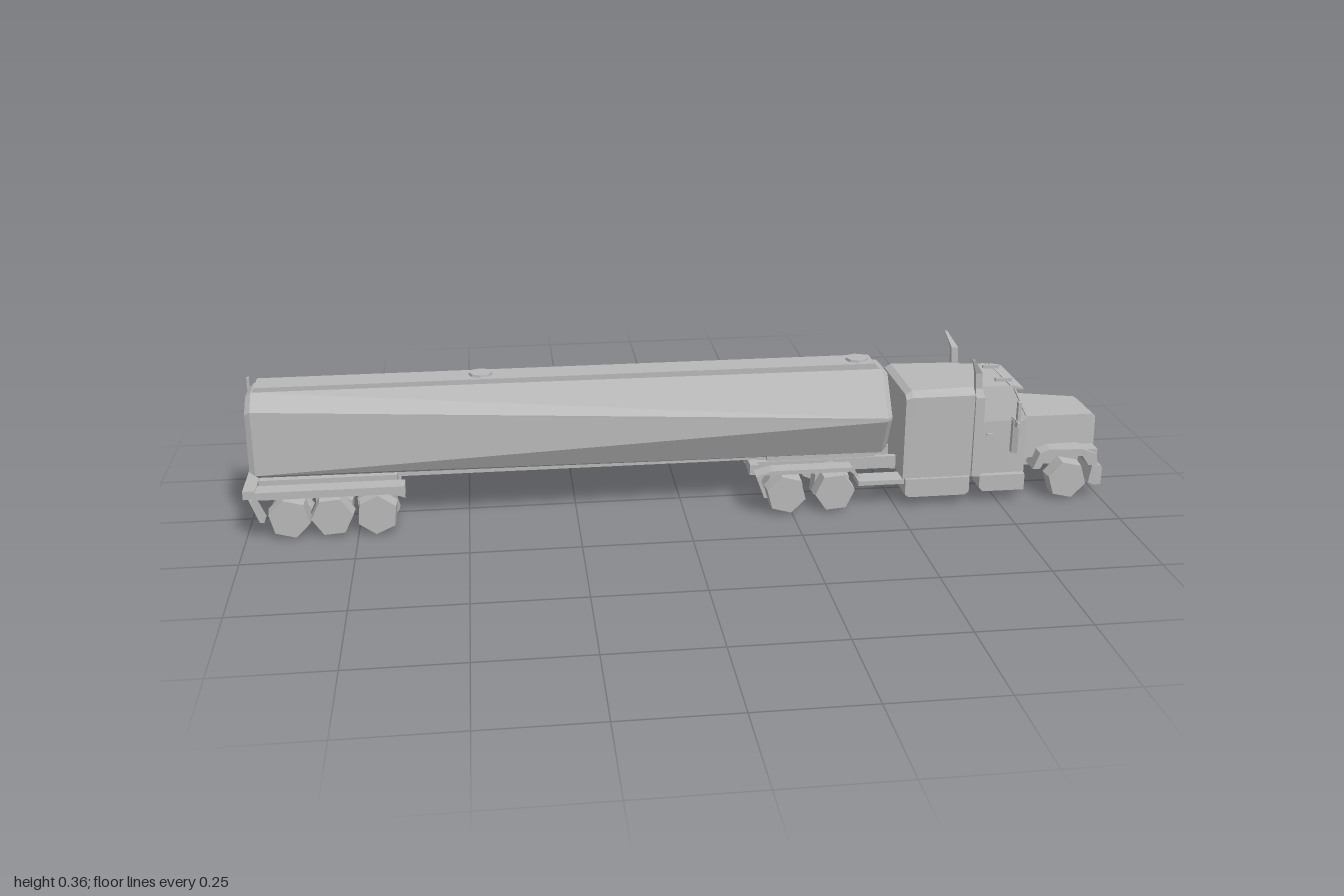
import * as THREE from 'three';

const paint = new THREE.MeshStandardMaterial({ color: 0xb8b8b8, flatShading: true, side: THREE.DoubleSide });
paint.name = 'plain grey';

export function createModel() {
  const root = new THREE.Group();
  root.name = 'tankerTruck';

  const add = (name, geometry) => {
    const mesh = new THREE.Mesh(geometry, paint);
    mesh.name = name;
    root.add(mesh);
    return mesh;
  };

  // Box from its limits
  const box = (name, x0, x1, y0, y1, z0, z1) => {
    const m = add(name, new THREE.BoxGeometry(x1 - x0, y1 - y0, z1 - z0));
    m.position.set((x0 + x1) / 2, (y0 + y1) / 2, (z0 + z1) / 2);
    return m;
  };

  // Cross-sections joined along their order, closed at both ends
  const loft = (name, rings) => {
    const n = rings[0].length, pos = [];
    const tri = (a, b, c) => pos.push(...a, ...b, ...c);
    for (let r = 0; r + 1 < rings.length; r++) {
      for (let i = 0; i < n; i++) {
        const j = (i + 1) % n;
        tri(rings[r][i], rings[r + 1][i], rings[r + 1][j]);
        tri(rings[r][i], rings[r + 1][j], rings[r][j]);
      }
    }
    const first = rings[0], last = rings[rings.length - 1];
    for (let i = 1; i < n - 1; i++) {
      tri(first[0], first[i], first[i + 1]);
      tri(last[0], last[i + 1], last[i]);
    }
    const g = new THREE.BufferGeometry();
    g.setAttribute('position', new THREE.Float32BufferAttribute(pos, 3));
    g.computeVertexNormals();
    return add(name, g);
  };
  const ring = (x, yz) => yz.map(([y, z]) => [x, y, z]);

  // Side profile in x, y with thickness along z
  const profile = (name, points, z0, z1) => {
    const shape = new THREE.Shape(points.map(([x, y]) => new THREE.Vector2(x, y)));
    const m = add(name, new THREE.ExtrudeGeometry(shape, { depth: z1 - z0, bevelEnabled: false }));
    m.position.z = z0;
    return m;
  };

  // Tank body with a slightly twisted low-poly shell
  const rear = [[0.322, 0.035], [0.29, 0.08], [0.14, 0.085], [0.12, 0.045], [0.12, -0.06], [0.215, -0.115], [0.305, -0.065], [0.322, -0.035]];
  const front = [[0.318, 0.035], [0.22, 0.108], [0.212, 0.108], [0.118, 0.06], [0.118, -0.06], [0.215, -0.115], [0.305, -0.065], [0.318, -0.035]];
  const shrink = (yz, k) => yz.map(([y, z]) => [0.215 + (y - 0.215) * k, z * k]);
  loft('tankBody', [
    ring(-0.985, shrink(rear, 0.9)), ring(-0.972, rear),
    ring(0.475, front), ring(0.488, shrink(front, 0.88)),
  ]);

  // Raised walkway and hatches along the tank top
  profile('tankWalkway', [[-0.975, 0.31], [-0.965, 0.332], [0.455, 0.332], [0.475, 0.31]], -0.035, 0.035);
  for (const x of [-0.46, 0.42]) {
    const hatch = add('tankHatch', new THREE.CylinderGeometry(0.026, 0.028, 0.01, 8));
    hatch.position.set(x, 0.333, 0);
  }

  // Trailer underframe and rear bar
  box('rearBumperBar', -0.998, -0.97, 0.1, 0.12, -0.125, 0.125);
  box('bogieDeck', -0.97, -0.66, 0.09, 0.118, -0.06, 0.06);
  box('couplingPlate', 0.2, 0.46, 0.108, 0.122, -0.06, 0.06);
  box('rearLadder', -0.998, -0.992, 0.12, 0.315, -0.1, -0.092);

  // Tractor chassis
  box('chassisCrossmember', 0.16, 0.18, 0.075, 0.1, -0.06, 0.06);
  box('engineUnderside', 0.7, 0.97, 0.06, 0.1, -0.04, 0.04);

  // Sleeper, cab and hood
  loft('sleeper', [
    ring(0.515, [[0.275, 0.1], [0.265, 0.112], [0.068, 0.113], [0.068, -0.113], [0.265, -0.112], [0.275, -0.1]]),
    ring(0.53, [[0.284, 0.1], [0.27, 0.113], [0.068, 0.114], [0.068, -0.114], [0.27, -0.113], [0.284, -0.1]]),
    ring(0.697, [[0.284, 0.09], [0.27, 0.113], [0.068, 0.114], [0.068, -0.114], [0.27, -0.113], [0.284, -0.09]]),
  ]);
  loft('cab', [
    ring(0.697, [[0.282, 0.087], [0.2, 0.104], [0.065, 0.106], [0.065, -0.106], [0.2, -0.104], [0.282, -0.087]]),
    [[0.775, 0.28, 0.085], [0.812, 0.2, 0.1], [0.812, 0.065, 0.104], [0.812, 0.065, -0.104], [0.812, 0.2, -0.1], [0.775, 0.28, -0.085]],
  ]);
  loft('windshield', [
    [[0.783, 0.27, 0.08], [0.814, 0.203, 0.088], [0.814, 0.203, -0.088], [0.783, 0.27, -0.08]],
    [[0.788, 0.268, 0.078], [0.819, 0.203, 0.086], [0.819, 0.203, -0.086], [0.788, 0.268, -0.078]],
  ]);
  profile('sunVisor', [[0.77, 0.282], [0.803, 0.274], [0.803, 0.269], [0.77, 0.274]], -0.084, 0.084);
  loft('hood', [
    ring(0.81, [[0.203, 0.088], [0.1, 0.092], [0.1, -0.092], [0.203, -0.088]]),
    ring(0.985, [[0.193, 0.063], [0.09, 0.067], [0.09, -0.067], [0.193, -0.063]]),
    ring(0.996, [[0.186, 0.06], [0.09, 0.065], [0.09, -0.065], [0.186, -0.06]]),
  ]);
  profile('frontBumper', [[0.968, 0.04], [0.975, 0.083], [0.996, 0.083], [1, 0.078], [1, 0.035], [0.985, 0.033]], -0.121, 0.121);

  // Wheel with a tapered hexagonal tyre
  const wheel = (name, x, z, width, radius, turn, s) => {
    const m = add(name, new THREE.CylinderGeometry(radius * 0.94, radius, width, 6));
    m.rotation.set(Math.PI / 2, turn, 0);
    m.position.set(x, 0.05, z * s);
    if (s < 0) m.rotation.x = -Math.PI / 2;
  };

  const axles = [-0.9, -0.805, -0.705, 0.235, 0.35];
  for (const x of axles) {
    const axle = add('axle', new THREE.CylinderGeometry(0.011, 0.011, 0.2, 6));
    axle.rotation.x = Math.PI / 2;
    axle.position.set(x, 0.05, 0);
    box('axleHanger', x - 0.02, x + 0.02, 0.05, 0.1, -0.02, 0.02);
  }
  const steerAxle = add('axle', new THREE.CylinderGeometry(0.01, 0.01, 0.2, 6));
  steerAxle.rotation.x = Math.PI / 2;
  steerAxle.position.set(0.915, 0.05, 0);

  // Everything mirrored on both sides
  for (const s of [1, -1]) {
    const sideBox = (name, x0, x1, y0, y1, z0, z1) =>
      box(name, x0, x1, y0, y1, s > 0 ? z0 : -z1, s > 0 ? z1 : -z0);
    const sideProfile = (name, points, z0, z1) =>
      profile(name, points, s > 0 ? z0 : -z1, s > 0 ? z1 : -z0);

    // Wheels
    axles.forEach((x, i) => {
      wheel('outerWheel', x, 0.112, 0.036, 0.05, 0.25 + i * 0.35, s);
      wheel('innerWheel', x, 0.067, 0.034, 0.05, 0.6 + i * 0.35, s);
    });
    wheel('frontWheel', 0.915, 0.105, 0.036, 0.05, 0.3, s);

    // Trailer rails, fenders and mud flaps
    sideBox('trailerRail', -0.66, 0.25, 0.108, 0.12, 0.035, 0.045);
    sideProfile('trailerFender', [[-0.985, 0.105], [-0.97, 0.118], [-0.64, 0.118], [-0.64, 0.09], [-0.665, 0.1], [-0.96, 0.1]], 0.09, 0.132);
    sideProfile('mudFlap', [[-0.985, 0.1], [-0.978, 0.1], [-0.955, 0.045], [-0.965, 0.045]], 0.09, 0.13);
    sideProfile('mudFlap', [[0.162, 0.1], [0.17, 0.1], [0.19, 0.045], [0.182, 0.045]], 0.09, 0.13);
    sideProfile('driveFender', [[0.165, 0.1], [0.2, 0.11], [0.39, 0.11], [0.41, 0.08], [0.385, 0.1], [0.2, 0.1]], 0.09, 0.128);

    // Tractor frame, tanks and steps
    sideBox('chassisRail', 0.16, 0.97, 0.07, 0.1, 0.03, 0.043);
    sideBox('frameStep', 0.41, 0.52, 0.055, 0.066, 0.06, 0.11);
    sideProfile('fuelTank', [[0.52, 0.032], [0.53, 0.025], [0.665, 0.025], [0.675, 0.032], [0.675, 0.07], [0.52, 0.07]], 0.06, 0.122);
    sideProfile('cabStep', [[0.7, 0.04], [0.71, 0.03], [0.81, 0.03], [0.81, 0.07], [0.7, 0.07]], 0.07, 0.12);

    // Front fender arch
    sideProfile('frontFender', [[0.83, 0.08], [0.845, 0.12], [0.87, 0.128], [0.95, 0.125], [0.985, 0.11], [0.99, 0.083],
      [0.967, 0.083], [0.95, 0.108], [0.88, 0.11], [0.858, 0.1], [0.848, 0.08]], 0.066, 0.118);

    // Headlamp, air cleaner and door handle
    sideBox('headlamp', 0.96, 0.99, 0.098, 0.12, 0.07, 0.108);
    const cleaner = add('airCleaner', new THREE.CylinderGeometry(0.014, 0.014, 0.08, 6));
    cleaner.position.set(0.785, 0.165, 0.112 * s);
    sideBox('doorHandle', 0.715, 0.73, 0.165, 0.171, 0.103, 0.109);

    // Exhaust stack with a swept tip
    const sect = (x, y, z, r) => [[x - r, y, (z - r) * s], [x + r, y, (z - r) * s], [x + r, y, (z + r) * s], [x - r, y, (z + r) * s]];
    loft('exhaustStack', [sect(0.69, 0.07, 0.112, 0.011), sect(0.69, 0.265, 0.108, 0.011), sect(0.688, 0.285, 0.1, 0.008),
      sect(0.686, 0.322, 0.1, 0.008), sect(0.668, 0.358, 0.115, 0.003)]);

    // Mirrors and arms
    sideBox('mirror', 0.772, 0.78, 0.215, 0.26, 0.136, 0.148);
    sideBox('mirrorArm', 0.774, 0.778, 0.206, 0.21, 0.1, 0.146);
    sideProfile('lowerMirror', [[0.77, 0.198], [0.782, 0.198], [0.779, 0.209], [0.773, 0.209]], 0.134, 0.15);

    // Roof horns
    sideBox('roofHorn', 0.745, 0.785, 0.28, 0.288, 0.045, 0.053);
  }

  return root;
}
